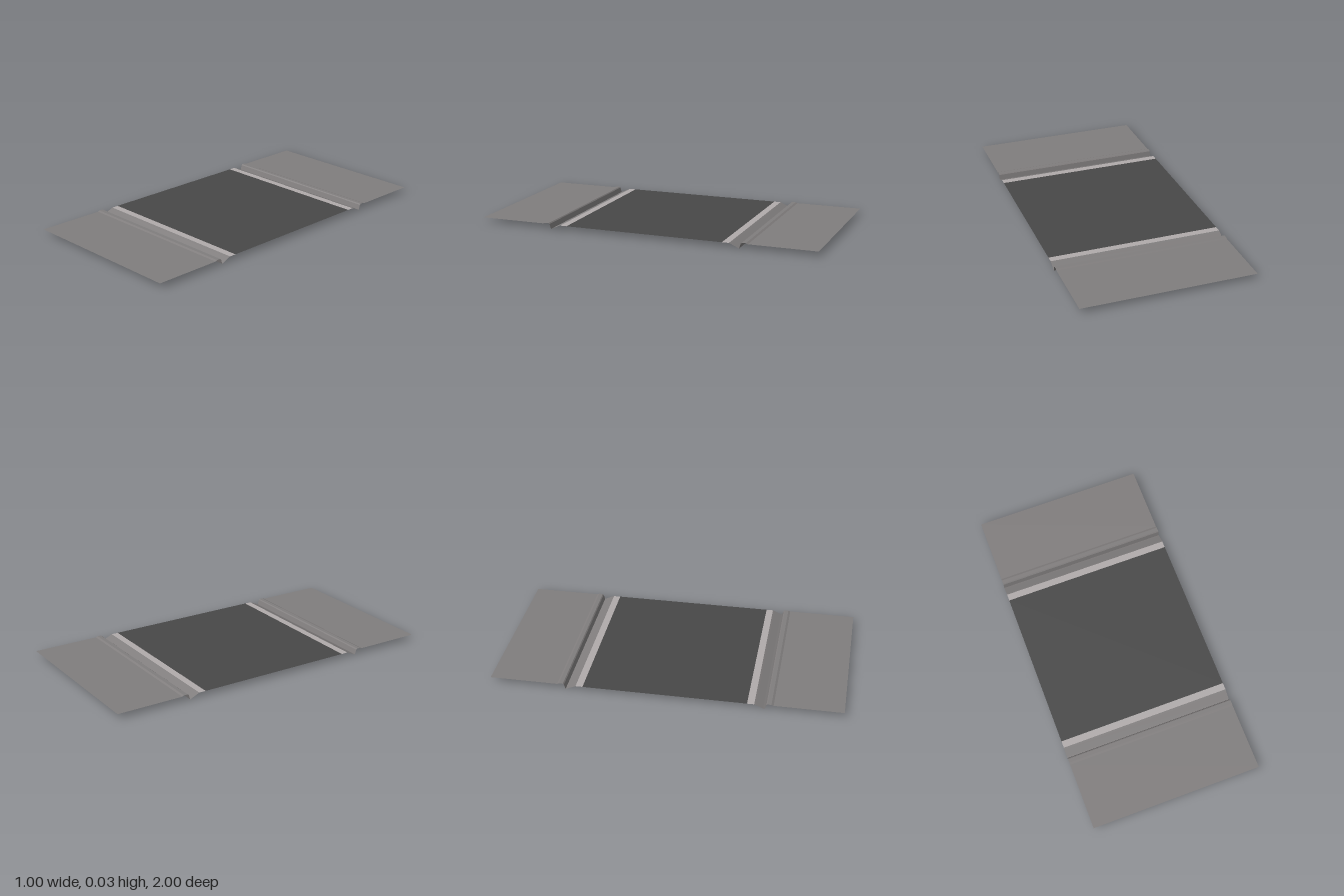
import * as THREE from 'three';

const HALF_WIDTH = 0.5;

// Sweeps a [z, y] profile (z rising) across the width as flat upward-facing facets
function sweep(name, profile, material) {
  const pos = [];
  for (let i = 0; i < profile.length - 1; i++) {
    const [z0, y0] = profile[i], [z1, y1] = profile[i + 1];
    const a = [-HALF_WIDTH, y0, z0], b = [-HALF_WIDTH, y1, z1];
    const c = [HALF_WIDTH, y1, z1], d = [HALF_WIDTH, y0, z0];
    pos.push(...a, ...b, ...c, ...a, ...c, ...d);
  }
  const geometry = new THREE.BufferGeometry();
  geometry.setAttribute('position', new THREE.Float32BufferAttribute(pos, 3));
  geometry.computeVertexNormals();
  const mesh = new THREE.Mesh(geometry, material);
  mesh.name = name;
  return mesh;
}

function makeMaterial(name, color) {
  const m = new THREE.MeshStandardMaterial({ color, side: THREE.DoubleSide });
  m.name = name;
  return m;
}

export function createModel() {
  const asphalt = makeMaterial('asphalt', 0x484848);
  const concrete = makeMaterial('concrete', 0x807d7d);
  const paint = makeMaterial('edgeLinePaint', 0xb0abab);

  const group = new THREE.Group();
  group.name = 'roadSection';

  // Carriageway
  group.add(sweep('roadSurface', [[-0.465, 0.025], [0.465, 0.025]], asphalt));

  // Parts of one roadside, from the road outwards
  const parts = [
    ['edgeLine', [[0.465, 0.025], [0.505, 0.025]], paint],
    ['gutter', [[0.505, 0.025], [0.515, 0.021], [0.555, 0.003], [0.563, 0]], concrete],
    ['curb', [[0.563, 0], [0.572, 0.028], [0.578, 0.033], [0.6, 0.033], [0.612, 0.028]], concrete],
    ['sidewalk', [[0.612, 0.028], [1, 0.028]], concrete],
  ];
  for (const [name, profile, material] of parts) {
    group.add(sweep(name + 'Front', profile, material));
    const mirrored = profile.map(([z, y]) => [-z, y]).reverse();
    group.add(sweep(name + 'Back', mirrored, material));
  }
  return group;
}
